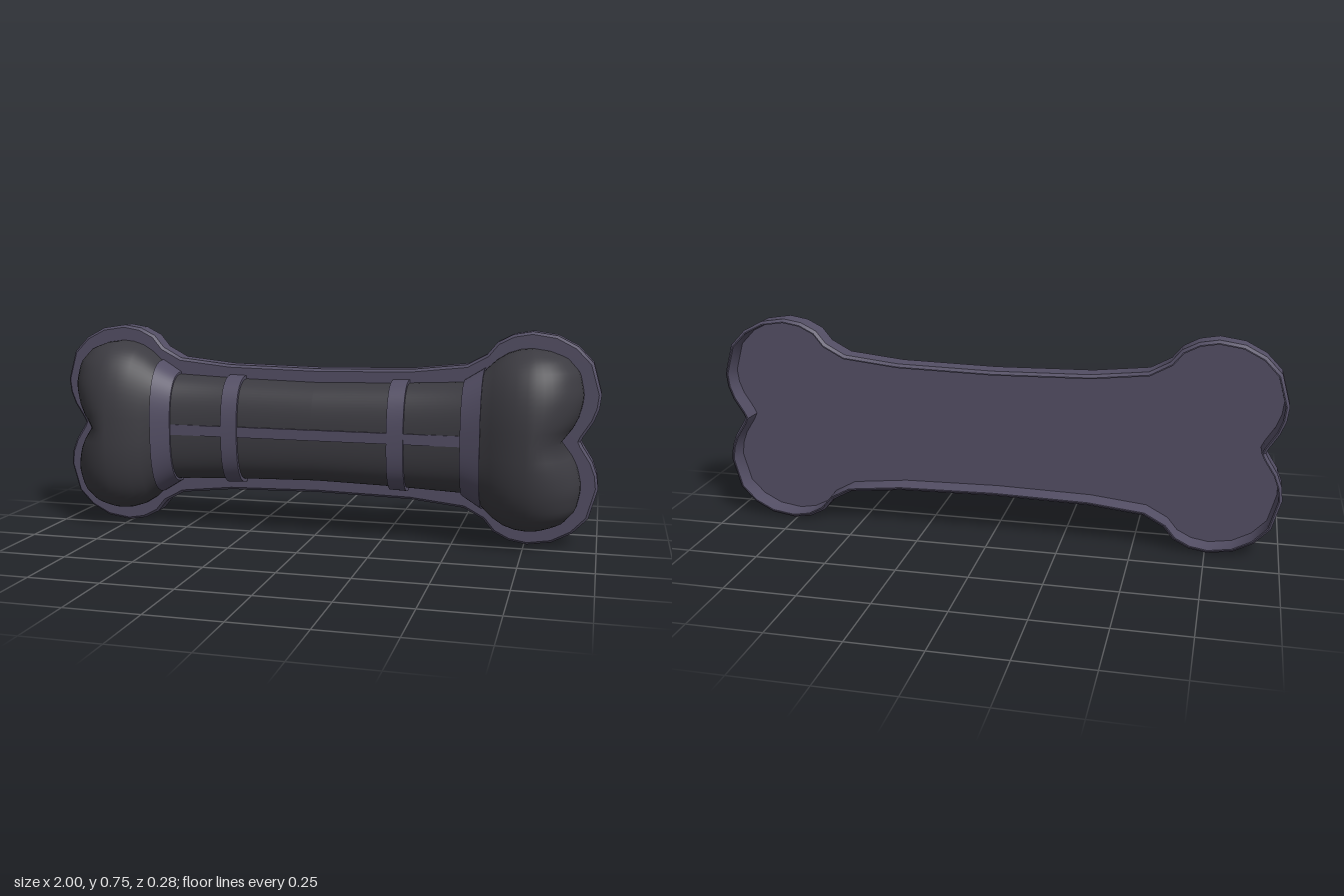
import * as THREE from 'three';
import { toCreasedNormals } from 'three/addons/utils/BufferGeometryUtils.js';

const CY = 0.378, BASE = -0.06, LOBE_X = 0.76, POWER = 2.6, ARC = 36;

// Half height and depth of the bone along x, and reach of the end along y
const HEIGHT = [[0, 0.18], [0.3, 0.187], [0.53, 0.197], [0.6, 0.24], [0.64, 0.278], [0.68, 0.303], [0.72, 0.316], [0.76, 0.32]];
const DEPTH = [[0, 0.119], [0.3, 0.12], [0.53, 0.126], [0.6, 0.146], [0.64, 0.168], [0.68, 0.185], [0.72, 0.196], [0.76, 0.2]];
const REACH = [[0, 0.87], [0.03, 0.897], [0.08, 0.923], [0.13, 0.937], [0.17, 0.94], [0.24, 0.925], [0.29, 0.88], [0.312, 0.82], [0.32, 0.76]];

function sample(table, t) {
  let i = 1;
  while (i < table.length - 1 && t > table[i][0]) i++;
  const [a, b] = [table[i - 1], table[i]];
  const k = THREE.MathUtils.clamp((t - a[0]) / (b[0] - a[0]), 0, 1);
  return THREE.MathUtils.lerp(a[1], b[1], k);
}

function build(pos, index) {
  const geometry = new THREE.BufferGeometry();
  geometry.setAttribute('position', new THREE.Float32BufferAttribute(pos, 3));
  geometry.setIndex(index);
  geometry.computeVertexNormals();
  return geometry;
}

// Each station is a rounded half section: x, outward offset, and phi, the turn over the end
function loft(stations) {
  const pos = [], index = [];
  stations.forEach(({ x, offset = 0, phi = 0 }, i) => {
    const ax = Math.abs(x);
    for (let j = 0; j <= ARC; j++) {
      const a = (j / ARC) * Math.PI, c = Math.cos(a);
      const v = Math.sign(c) * Math.abs(c) ** (2 / POWER);
      const s = Math.max(0, Math.sin(a)) ** (2 / POWER);
      const y = v * (sample(HEIGHT, ax) + offset);
      const z = BASE + s * (sample(DEPTH, ax) + offset) * Math.cos(phi);
      const reach = (sample(REACH, Math.abs(y)) - LOBE_X) * Math.sin(phi);
      pos.push(x + (phi ? Math.sign(x) * reach : 0), CY + y, z);
      if (i && j < ARC) {
        const q = i * (ARC + 1) + j, p = q - ARC - 1;
        index.push(p, p + 1, q, q, p + 1, q + 1);
      }
    }
  });
  return build(pos, index);
}

// Moves a closed counter-clockwise outline inward by a constant distance
function inset(outline, d) {
  const n = outline.length;
  const normal = (a, b) => new THREE.Vector2(b.y - a.y, a.x - b.x).normalize();
  return outline.map((p, i) => {
    const n1 = normal(outline[(i + n - 1) % n], p), n2 = normal(p, outline[(i + 1) % n]);
    return p.clone().addScaledVector(n1.clone().add(n2), -d / (1 + n1.dot(n2)));
  });
}

export function createModel() {
  const group = new THREE.Group();
  const dark = new THREE.MeshStandardMaterial({ color: 0x3c3b41 });
  const trim = new THREE.MeshStandardMaterial({ color: 0x534e64 });
  const add = (name, geometry, material) => {
    const mesh = new THREE.Mesh(geometry, material);
    mesh.name = name;
    group.add(mesh);
    return mesh;
  };

  // Tray outline, one quarter mirrored both ways
  const quarter = [[0.933, 0], [0.94, 0.015], [0.975, 0.07], [0.992, 0.115], [0.998, 0.165], [0.968, 0.272], [0.914, 0.328],
    [0.845, 0.364], [0.76, 0.377], [0.695, 0.366], [0.64, 0.338], [0.605, 0.295], [0.535, 0.257], [0.34, 0.236], [0, 0.229]];
  const half = [...quarter, ...quarter.slice(0, -1).reverse().map(([x, y]) => [-x, y])];
  const outline = [...half, ...half.slice(1, -1).reverse().map(([x, y]) => [x, -y])]
    .map(([x, y]) => new THREE.Vector2(x, y));

  // Tray wall: bevelled outside, narrow rim at the back, then in to the recessed floor
  const rings = [[0.009, -0.056], [0, -0.066], [0, -0.131], [0.009, -0.141], [0.013, -0.141], [0.016, -0.07]];
  const pos = [], index = [], count = outline.length;
  rings.forEach(([d, z], r) => inset(outline, d).forEach((p, i) => {
    pos.push(p.x, CY + p.y, z);
    if (r) {
      const q = r * count + i, q1 = r * count + (i + 1) % count;
      index.push(q - count, q, q1 - count, q1 - count, q, q1);
    }
  }));
  add('trayWall', toCreasedNormals(build(pos, index), 0.6), trim);
  const panel = (ring) => new THREE.ShapeGeometry(new THREE.Shape(inset(outline, ring[0])));
  add('trayFront', panel(rings[0]), trim).position.set(0, CY, rings[0][1]);
  add('recessedBack', panel(rings[5]).rotateY(Math.PI), trim).position.set(0, CY, rings[5][1]);

  // Bone: shaft and paired lobes in one skin
  const right = HEIGHT.slice(1).map(([x]) => ({ x }));
  for (let k = 1; k <= 10; k++) right.push({ x: LOBE_X, phi: (k / 10) * Math.PI / 2 });
  const left = right.map((s) => ({ ...s, x: -s.x })).reverse();
  add('bone', loft([...left, { x: 0 }, ...right]), dark);

  // Raised bands around the shaft
  const bands = [['InnerBand', 0.275, 0.335, 0.012], ['OuterBand', 0.532, 0.602, 0.008]];
  for (const [name, x0, x1, offset] of bands) {
    for (const side of [-1, 1]) {
      const [a, b] = side > 0 ? [x0, x1] : [-x1, -x0];
      const stations = [{ x: a, offset: -0.01 }, { x: a, offset }, { x: b, offset }, { x: b, offset: -0.01 }];
      add((side > 0 ? 'left' : 'right') + name, toCreasedNormals(loft(stations), 0.6), trim);
    }
  }

  // Lengthwise strip along the front of the shaft
  const strip = add('centreStrip', new THREE.BoxGeometry(1.08, 0.038, 0.04), trim);
  strip.position.set(0, CY + 0.004, 0.048);
  return group;
}
